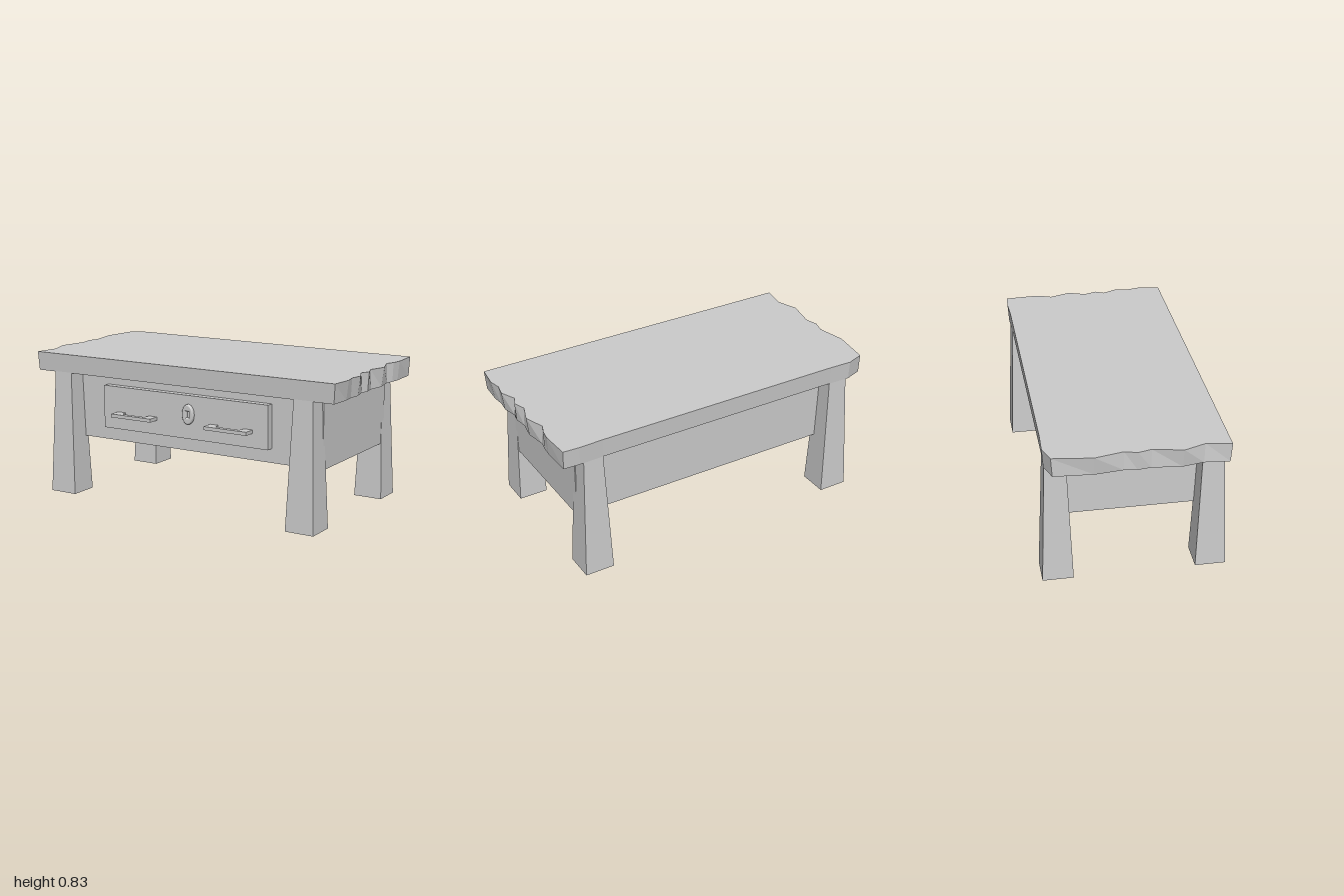
import * as THREE from 'three';

const material = new THREE.MeshStandardMaterial({ color: 0xcccccc, flatShading: true });
const sheet = new THREE.MeshStandardMaterial({ color: 0xcccccc, flatShading: true, side: THREE.DoubleSide });
const smooth = new THREE.MeshStandardMaterial({ color: 0xcccccc });

function add(parent, name, geometry, x = 0, y = 0, z = 0, mat = material) {
  const mesh = new THREE.Mesh(geometry, mat);
  mesh.name = name;
  mesh.position.set(x, y, z);
  parent.add(mesh);
  return mesh;
}

// Slab with ragged ends, a straighter lower rim and a recessed underside
function topGeometry() {
  const leftEnd = [[-0.87, -0.495], [-0.97, -0.46], [-1, -0.24], [-0.965, -0.08], [-0.985, -0.01],
    [-0.965, 0.065], [-1, 0.23], [-0.955, 0.35], [-0.98, 0.49]];
  const rightEnd = [[0.985, 0.49], [1, 0.36], [0.985, 0.29], [1, 0.22], [0.96, 0.13], [0.985, 0.08],
    [0.96, 0.01], [0.995, -0.09], [0.955, -0.21], [0.975, -0.26], [0.985, -0.32], [0.975, -0.49],
    [0.88, -0.495], [0.74, -0.49], [-0.74, -0.49]];
  const outline = [...leftEnd, ...rightEnd].map(([x, z]) => new THREE.Vector2(x, -z));
  const g = new THREE.ExtrudeGeometry(new THREE.Shape(outline), { depth: 0.11, bevelEnabled: false });
  g.rotateX(-Math.PI / 2);
  const p = g.attributes.position;
  const capCount = g.groups[0].count;
  for (let i = 0; i < p.count; i++) {
    if (p.getY(i) > 0.05) continue;
    // The underside lies part way up, so it takes only part of the taper
    const isCap = i < capCount;
    const taper = isCap ? 0.5 : 1;
    const x = p.getX(i), a = Math.abs(x);
    if (a > 0.9) p.setX(i, Math.sign(x) * (a + taper * (0.972 + (a - 0.975) * 0.5 - a) - (isCap ? 0.004 : 0)));
    p.setZ(i, p.getZ(i) * (1 - 0.015 * taper));
    if (isCap) p.setY(i, 0.063);
  }
  g.computeVertexNormals();
  return g;
}

function rectangle(PathType, x0, y0, x1, y1) {
  const path = new PathType();
  path.moveTo(x0, y0).lineTo(x1, y0).lineTo(x1, y1).lineTo(x0, y1).closePath();
  return path;
}

export function createModel() {
  const table = new THREE.Group();
  table.name = 'table';

  add(table, 'tableTop', topGeometry(), 0, 0.722, 0, sheet);

  // Four hollow legs that widen toward the floor
  const apronTop = 0.785;
  const footRadius = 0.086 * Math.SQRT2;
  const leg = new THREE.CylinderGeometry(footRadius * 0.645, footRadius, apronTop, 4, 1, true).rotateY(Math.PI / 4);
  for (const sx of [-1, 1]) for (const sz of [-1, 1]) {
    add(table, sz > 0 ? 'frontLeg' : 'backLeg', leg, sx * 0.797, apronTop / 2, sz * 0.425, sheet);
  }

  // Thin aprons around an open underside; the right one sits behind its legs
  const h = apronTop - 0.33, y = 0.33 + h / 2;
  for (const [name, x] of [['leftApron', 0.865], ['rightApron', -0.736]]) {
    add(table, name, new THREE.PlaneGeometry(0.765, h).rotateY(Math.PI / 2), x, y, -0.0075, sheet);
  }
  add(table, 'backApron', new THREE.PlaneGeometry(1.615, h), 0.0575, y, -0.39, sheet);

  // Front apron with the drawer opening
  const front = rectangle(THREE.Shape, -0.75, 0.33, 0.865, apronTop);
  front.holes.push(rectangle(THREE.Path, -0.55, 0.41, 0.55, 0.66));
  add(table, 'frontApron', new THREE.ExtrudeGeometry(front, { depth: 0.006, bevelEnabled: false }), 0, 0, 0.369);

  const drawer = new THREE.Group();
  drawer.name = 'drawer';
  table.add(drawer);
  add(drawer, 'drawerFront', new THREE.BoxGeometry(1.1, 0.25, 0.044), 0, 0.535, 0.396);

  // U-shaped pulls, drawn from above and extruded upward
  const pull = new THREE.Shape([[-0.137, 0], [-0.137, -0.07], [0.137, -0.07], [0.137, 0], [0.085, 0],
    [0.075, -0.04], [-0.075, -0.04], [-0.085, 0]].map(([a, b]) => new THREE.Vector2(a, b)));
  const pullGeometry = new THREE.ExtrudeGeometry(pull, { depth: 0.02, bevelEnabled: false }).rotateX(-Math.PI / 2);
  for (const s of [-1, 1]) add(drawer, 'drawerPull', pullGeometry, s * 0.316, 0.492, 0.417);

  // Domed oval lock plate with a square-cut keyhole
  const plate = new THREE.Shape().absellipse(0, 0, 0.03, 0.05, 0, Math.PI * 2);
  plate.holes.push(rectangle(THREE.Path, -0.017, -0.026, 0.017, 0.026));
  const plateGeometry = new THREE.ExtrudeGeometry(plate, {
    depth: 0.006, bevelThickness: 0.012, bevelSize: 0.008, bevelSegments: 4, curveSegments: 16,
  });
  add(drawer, 'lockPlate', plateGeometry, 0.037, 0.552, 0.418, smooth);

  return table;
}
